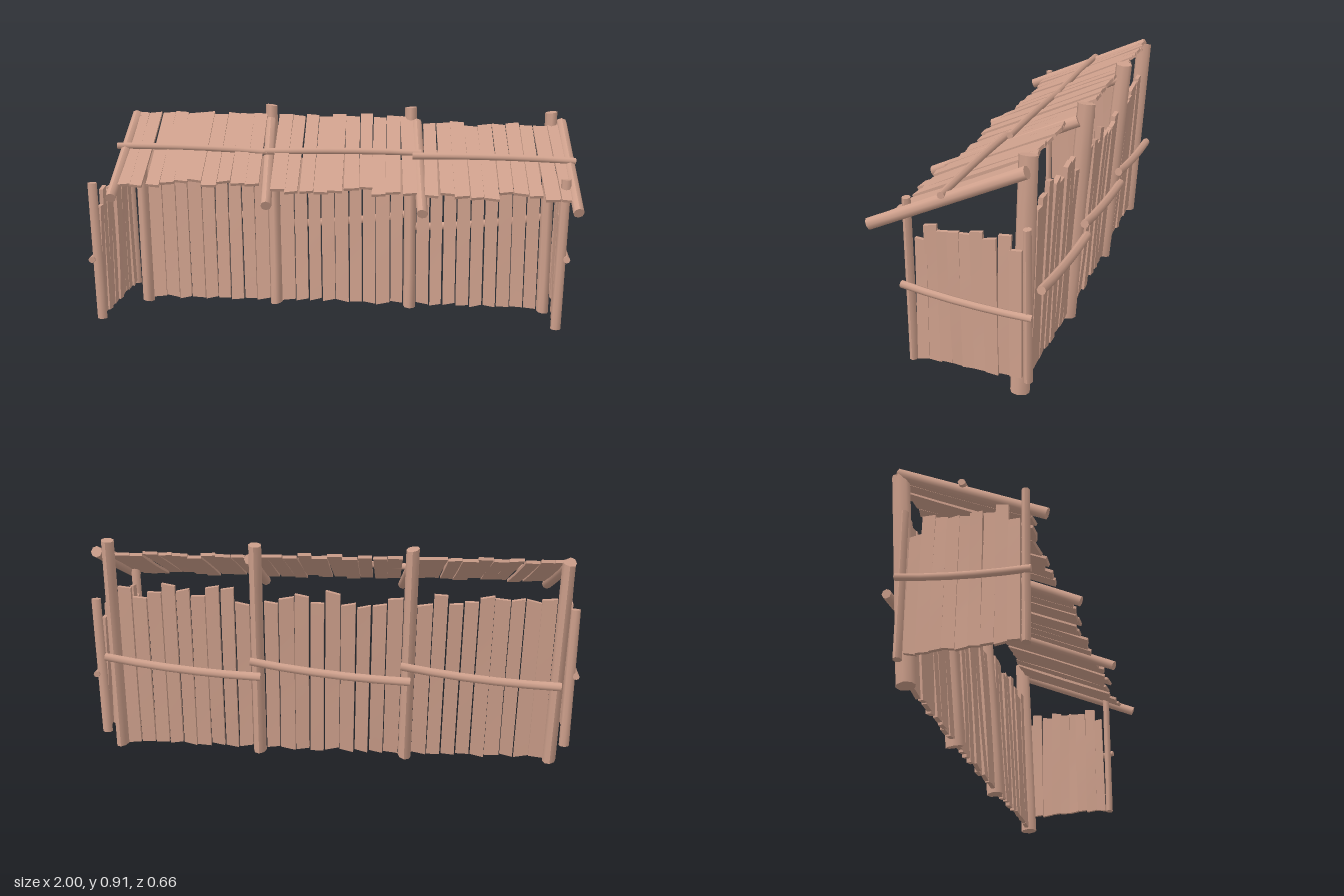
import * as THREE from 'three';

const V = (x, y, z) => new THREE.Vector3(x, y, z);
const lerp = THREE.MathUtils.lerp;

export function createModel() {
  const model = new THREE.Group();
  const wood = new THREE.MeshStandardMaterial({ color: 0xcd9f8b });

  let seed = 7;
  const rnd = (s) => {
    seed = (seed * 16807) % 2147483647;
    return (seed / 2147483647 * 2 - 1) * s;
  };

  const group = (name) => {
    const g = new THREE.Group();
    g.name = name;
    model.add(g);
    return g;
  };

  // Stretches a geometry built along y from a to b; facing is where its thin side looks.
  // bend bows the middle along facing, cut slants both ends.
  function place(parent, name, geo, a, b, facing, bend = 0, cut = 0) {
    const dir = b.clone().sub(a);
    const len = dir.length();
    const y = dir.normalize();
    const x = y.clone().cross(facing).normalize();
    const z = x.clone().cross(y);
    const p = geo.attributes.position;
    for (let i = 0; i < p.count; i++) {
      const t = p.getY(i);
      p.setY(i, t * len + p.getX(i) * cut * t * 2);
      p.setZ(i, p.getZ(i) + bend * (1 - 4 * t * t));
    }
    geo.applyMatrix4(new THREE.Matrix4().makeBasis(x, y, z));
    geo.translate((a.x + b.x) / 2, (a.y + b.y) / 2, (a.z + b.z) / 2);
    geo.computeVertexNormals();
    const mesh = new THREE.Mesh(geo, wood);
    mesh.name = name;
    parent.add(mesh);
  }

  const plank = (parent, name, a, b, facing, w, t = 0.014) =>
    place(parent, name, new THREE.BoxGeometry(w, 1, t, 1, 4, 1), a, b, facing, rnd(0.005), rnd(0.25));

  const pole = (parent, name, a, b, facing, r, depth = 1, bend = 0) => {
    const geo = new THREE.CylinderGeometry(r * 0.95, r, 1, 8, 5);
    geo.scale(1, 1, depth);
    place(parent, name, geo, a, b, facing, bend, rnd(0.2));
  };

  const BACK = V(0, 0, -1), UP = V(0, 1, 0);

  // Main posts, leaning backwards: foot and top
  const posts = [
    [V(-0.88, 0.005, -0.21), V(-0.9, 0.855, -0.265)],
    [V(-0.285, 0.005, -0.22), V(-0.305, 0.905, -0.295)],
    [V(0.32, 0.005, -0.22), V(0.31, 0.905, -0.285)],
    [V(0.915, 0.005, -0.208), V(0.91, 0.9, -0.242)],
  ];
  const postGroup = group('posts');
  posts.forEach(([a, b]) => pole(postGroup, 'post', a, b, BACK, 0.027, 1.35));

  // Back wall: three bays of upright planks, each tied by a sagging bar
  const wall = group('backWall');
  for (let s = 0; s < 3; s++) {
    const [a0, a1] = posts[s], [b0, b1] = posts[s + 1];
    for (let i = 0; i < 9; i++) {
      const k = (i + 0.95) / 9.9;
      const top = 0.69 + rnd(0.035);
      const at = (y) => V(
        lerp(lerp(a0.x, b0.x, k), lerp(a1.x, b1.x, k), y / 0.9), y,
        lerp(lerp(a0.z, b0.z, k), lerp(a1.z, b1.z, k), y / 0.9) + rnd(0.006));
      plank(wall, 'wallPlank', at(0.022 + rnd(0.004)), at(top), BACK, 0.056 + rnd(0.005), 0.018);
    }
    pole(wall, 'wallBar', V(a0.x - 0.02, 0.36, -0.293), V(b0.x + 0.02, 0.425, -0.293),
      UP, 0.018, 1, -0.012);
  }

  // Roof surface height at a given depth
  const roofY = (z) => 0.745 - 0.43 * z;

  // Rafters: x and z at the back, x and z at the front, drop below the roof
  const rafters = group('rafters');
  [
    [-0.905, -0.27, -0.88, 0.285, 0.004], [-0.305, -0.27, -0.25, 0.285, 0.022],
    [0.335, -0.26, 0.37, 0.32, 0.016], [0.955, -0.25, 0.97, 0.32, -0.002],
  ].forEach(([x0, z0, x1, z1, drop]) => pole(rafters, 'rafter',
    V(x0, roofY(z0) - drop, z0), V(x1, roofY(z1) - drop, z1), UP, 0.023));

  // Roof planks in three bays: first and last x, skew, back and front z
  const roof = group('roof');
  [
    [-0.865, -0.335, 0.03, -0.275, 0.2],
    [-0.225, 0.305, 0.022, -0.275, 0.215],
    [0.40, 0.93, 0.018, -0.225, 0.24],
  ].forEach(([x0, x1, skew, back, front]) => {
    for (let i = 0; i < 10; i++) {
      const x = lerp(x0, x1, i / 9), lift = rnd(0.006);
      const zb = back + rnd(0.008), zf = front + rnd(0.022);
      plank(roof, 'roofPlank', V(x - skew / 2, roofY(zb) + lift, zb),
        V(x + skew / 2 + rnd(0.005), roofY(zf) + lift, zf), UP, 0.057 + rnd(0.005), 0.012);
    }
  });

  // Poles holding the roof planks down
  [
    [V(-0.93, 0.768, -0.02), V(-0.28, 0.757, -0.004)],
    [V(-0.3, 0.757, -0.005), V(0.36, 0.766, 0.004)],
    [V(0.325, 0.757, 0.026), V(0.985, 0.752, 0.042)],
  ].forEach(([a, b]) => pole(roof, 'roofPole', a, b, UP, 0.014, 1, 0.006));

  // End panels: upright planks between two slim posts, with one outer bar
  function endPanel(name, side, front, back, frontTop, bar) {
    const g = group(name);
    const out = V(side, 0, 0);
    const lean = V(side * 0.008, 0, 0);
    const post = (p, top) =>
      pole(g, 'panelPost', V(p.x, 0.08, p.z), V(p.x, top, p.z).add(lean), out, 0.016, 1.3);
    post(front, frontTop);
    post(back, 0.66);
    for (let i = 0; i < 9; i++) {
      const p = front.clone().lerp(back, (i + 0.9) / 9.9);
      const top = (i % 8 ? 0.61 : 0.56) + rnd(0.017);
      plank(g, 'panelPlank', V(p.x + rnd(0.008), 0.09 + rnd(0.004), p.z),
        V(p.x + rnd(0.008), top, p.z + rnd(0.006)), out, 0.045 + rnd(0.004), 0.016);
    }
    pole(g, 'panelBar', bar[0], bar[1], UP, 0.014, 1, -0.01);
  }
  endPanel('rightPanel', 1, V(0.925, 0, 0.19), V(0.962, 0, -0.255), 0.71,
    [V(0.95, 0.385, 0.215), V(0.985, 0.34, -0.275)]);
  endPanel('leftPanel', -1, V(-0.962, 0, 0.228), V(-0.935, 0, -0.225), 0.665,
    [V(-0.985, 0.342, 0.25), V(-0.962, 0.385, -0.24)]);

  return model;
}
